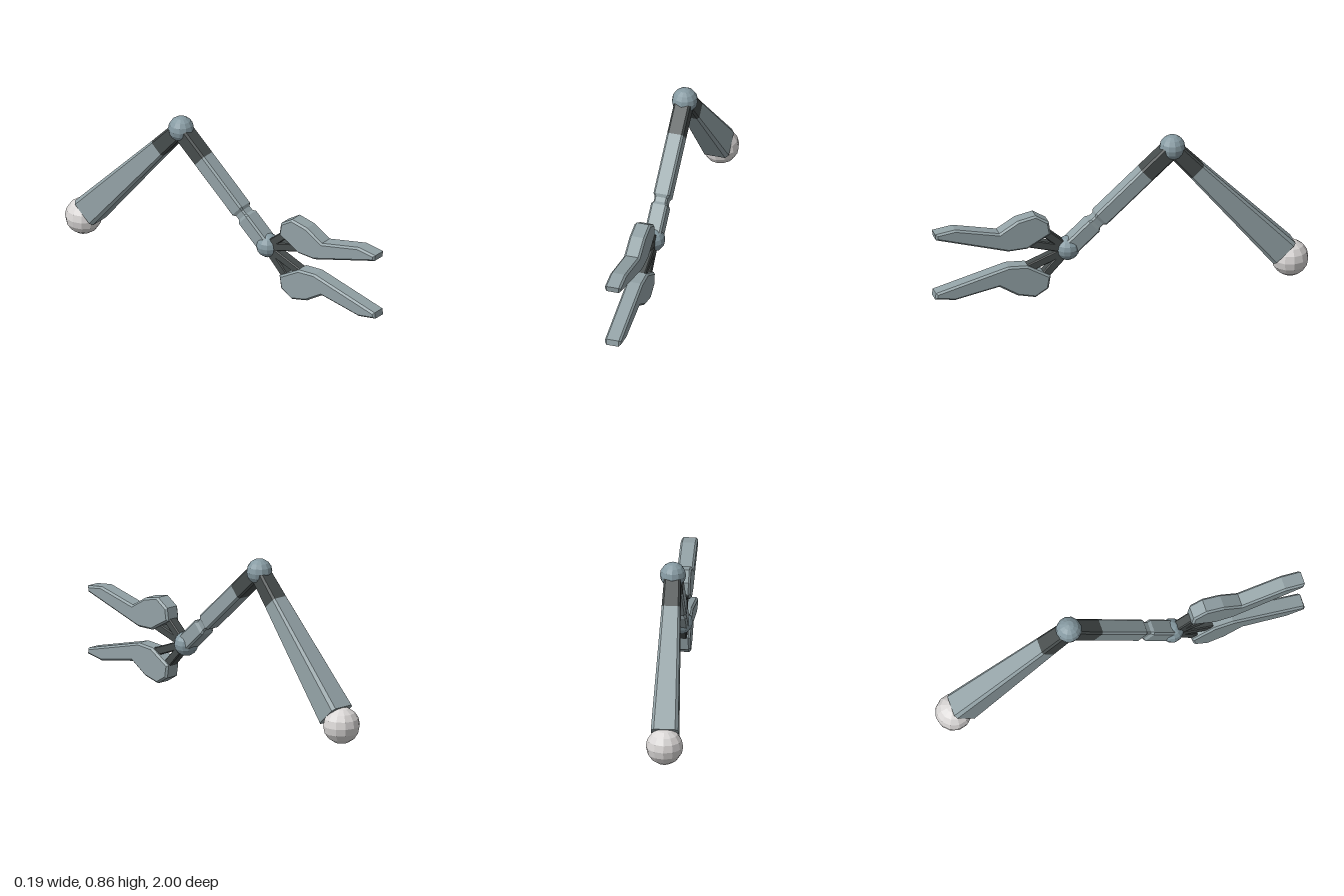
import * as THREE from 'three';

const paint = (name, color) => {
  const m = new THREE.MeshStandardMaterial({ color, flatShading: true });
  m.name = name;
  return m;
};

// Chamfered beam in the YZ plane; stations are [distance, half width in x, half thickness]
function beamGeometry(from, to, stations) {
  const start = new THREE.Vector3(0, from[1], from[0]);
  const dir = new THREE.Vector3(0, to[1], to[0]).sub(start).normalize();
  const side = new THREE.Vector3(1, 0, 0);
  const up = new THREE.Vector3().crossVectors(dir, side);
  const k = 0.78;
  const octagon = [[1, -k], [1, k], [k, 1], [-k, 1], [-1, k], [-1, -k], [-k, -1], [k, -1]];
  const positions = [];
  const index = [];
  const n = octagon.length;
  for (const [t, w, h] of stations) {
    for (const [a, b] of octagon) {
      const p = start.clone().addScaledVector(dir, t).addScaledVector(side, a * w).addScaledVector(up, b * h);
      positions.push(p.x, p.y, p.z);
    }
  }
  // side walls
  for (let s = 0; s < stations.length - 1; s++) {
    for (let i = 0; i < n; i++) {
      const a = s * n + i, b = s * n + (i + 1) % n;
      index.push(a, b, b + n, a, b + n, a + n);
    }
  }
  // end caps
  const last = (stations.length - 1) * n;
  for (let i = 1; i < n - 1; i++) {
    index.push(0, i + 1, i, last, last + i, last + i + 1);
  }
  const g = new THREE.BufferGeometry();
  g.setAttribute('position', new THREE.Float32BufferAttribute(positions, 3));
  g.setIndex(index);
  const flat = g.toNonIndexed();
  flat.computeVertexNormals();
  return flat;
}

// Bevelled plate from a [z, y] outline, centred on x = 0
function plateGeometry(outline) {
  const shape = new THREE.Shape(outline.map(([z, y]) => new THREE.Vector2(z, y)));
  const g = new THREE.ExtrudeGeometry(shape, {
    depth: 0.066, bevelEnabled: true, bevelThickness: 0.01, bevelSize: 0.01, bevelOffset: -0.01, bevelSegments: 1,
  });
  g.translate(0, 0, -0.033);
  g.rotateY(-Math.PI / 2);
  return g;
}

export function createModel() {
  const model = new THREE.Group();
  model.name = 'jointedGripperArm';
  const shell = paint('greyShell', 0x93a2a6);
  const joint = paint('blueGreyJoint', 0x869aa2);
  const dark = paint('darkMetal', 0x464c4c);
  const pale = paint('paleBall', 0xdad7d6);

  const add = (name, geometry, material) => {
    const mesh = new THREE.Mesh(geometry, material);
    mesh.name = name;
    model.add(mesh);
    return mesh;
  };
  const ball = (name, r, z, y, material) =>
    add(name, new THREE.SphereGeometry(r, 12, 8), material).position.set(0, y, z);

  const elbow = [-0.275, 0.79];
  const wrist = [0.285, 0.285];
  const shoulderEnd = [-0.86, 0.145];

  // Ball joints
  ball('shoulderBall', 0.097, -0.903, 0.097, pale);
  ball('elbowBall', 0.068, ...elbow, joint);
  ball('wristBall', 0.064, ...wrist, joint);

  // Upper arm, tapering towards the elbow
  add('upperArmCollar', beamGeometry(elbow, shoulderEnd, [[0, 0.042, 0.042], [0.186, 0.048, 0.048]]), dark);
  add('upperArm', beamGeometry(elbow, shoulderEnd, [[0.186, 0.048, 0.048], [0.871, 0.071, 0.079]]), shell);

  // Forearm with a shallow groove near the wrist
  add('forearmCollar', beamGeometry(elbow, wrist, [[0, 0.044, 0.044], [0.195, 0.044, 0.044]]), dark);
  add('forearm', beamGeometry(elbow, wrist, [
    [0.195, 0.044, 0.044], [0.52, 0.044, 0.044], [0.535, 0.035, 0.034],
    [0.56, 0.035, 0.034], [0.575, 0.044, 0.044], [0.73, 0.044, 0.044],
  ]), shell);

  // Two mirrored fingers, each carried by a pair of links
  const finger = [
    [1, 0.453], [0.893, 0.469], [0.657, 0.421], [0.56, 0.48], [0.464, 0.501],
    [0.394, 0.458], [0.383, 0.389], [0.507, 0.319], [0.609, 0.314], [0.995, 0.421],
  ];
  const linkEnds = [[0.42, 0.4], [0.51, 0.345]];
  const middle = 0.2705;
  for (const [label, s] of [['upper', 1], ['lower', -1]]) {
    const flip = ([z, y]) => [z, middle + s * (y - middle)];
    add(label + 'Finger', plateGeometry(finger.map(flip)), shell);
    linkEnds.forEach((end, i) => {
      const to = flip(end);
      const length = Math.hypot(to[0] - wrist[0], to[1] - wrist[1]);
      add(label + (i ? 'FrontLink' : 'RearLink'),
        beamGeometry(wrist, to, [[0, 0.027, 0.022], [length, 0.027, 0.022]]), dark);
    });
  }
  return model;
}
